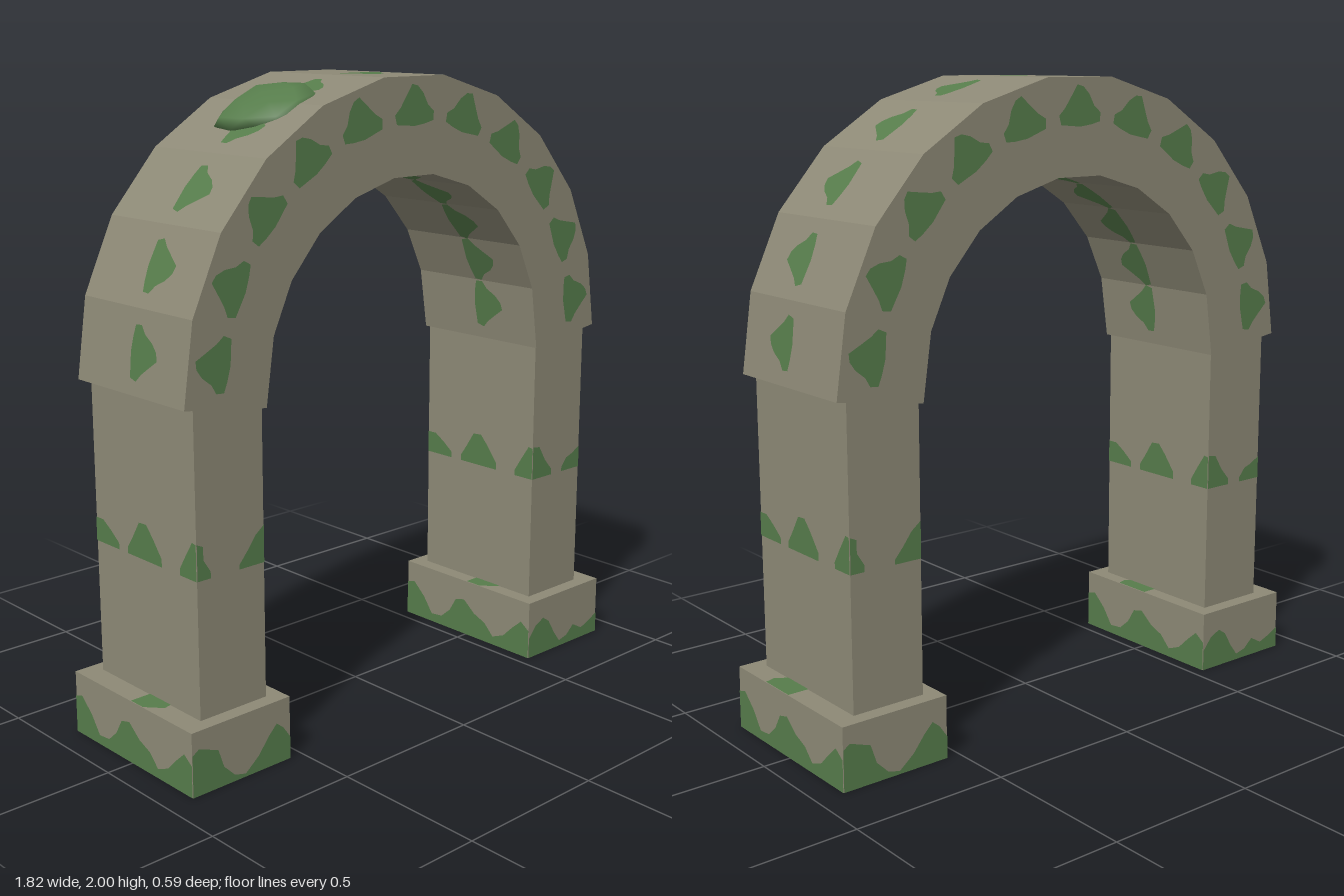
import * as THREE from 'three';
import { mergeVertices } from 'three/addons/utils/BufferGeometryUtils.js';

const stone = new THREE.MeshStandardMaterial({ color: 0x8d8976 });
stone.name = 'weathered stone';
const moss = new THREE.MeshStandardMaterial({ color: 0x567c4b });
moss.name = 'moss green';

const V = (x, y, z) => new THREE.Vector3(x, y, z);
const LIFT = 0.002;

// Irregular bell-shaped moss spot, flat edge on v = 0
const bell = [[-0.075, 0], [-0.083, 0.028], [-0.06, 0.05], [-0.035, 0.085], [-0.012, 0.118],
  [0.012, 0.112], [0.035, 0.09], [0.055, 0.055], [0.08, 0.035], [0.078, 0.008], [0.045, 0], [0, -0.006]];
const mirrored = bell.map(([u, v]) => [-u, v]).reverse();

// Thin moss patch on a face with normal n, its "up" along v
function patch(points, origin, n, v) {
  const g = new THREE.ShapeGeometry(new THREE.Shape(points.map(p => new THREE.Vector2(...p))));
  const u = V().crossVectors(v, n);
  const m = new THREE.Matrix4().makeBasis(u, v, n);
  m.setPosition(origin.clone().addScaledVector(n, LIFT));
  const mesh = new THREE.Mesh(g.applyMatrix4(m), moss);
  mesh.name = 'mossPatch';
  return mesh;
}

function box(name, w, h, d, x, y) {
  const mesh = new THREE.Mesh(new THREE.BoxGeometry(w, h, d), stone);
  mesh.position.set(x, y, 0);
  mesh.name = name;
  return mesh;
}

// Close a moss height line down to v = 0
const close = line => [[line[0][0], 0], ...line, [line[line.length - 1][0], 0]];

// Moss outlines: u runs to the viewer's right on each face
const baseSide = close([[-0.295, 0.12], [-0.26, 0.13], [-0.21, 0.085], [-0.17, 0.03], [-0.12, 0.035],
  [-0.08, 0.07], [-0.05, 0.12], [-0.01, 0.13], [0.04, 0.09], [0.09, 0.07], [0.13, 0.03], [0.18, 0.05],
  [0.22, 0.09], [0.26, 0.125], [0.295, 0.1]]);
const baseFaces = [
  close([[-0.183, 0.13], [-0.16, 0.145], [-0.09, 0.12], [-0.07, 0.06], [-0.03, 0.02], [0.01, 0.01],
    [0.06, 0.05], [0.1, 0.1], [0.13, 0.13], [0.155, 0.11], [0.183, 0.07]]),
  close([[-0.183, 0.07], [-0.15, 0.11], [-0.11, 0.13], [-0.08, 0.11], [-0.05, 0.06], [-0.02, 0.02],
    [0.02, 0.03], [0.055, 0.06], [0.1, 0.035], [0.14, 0.05], [0.183, 0.07]])];
const pillarSide = [
  close([[-0.247, 0.075], [-0.21, 0.075], [-0.17, 0.05], [-0.13, 0.02]]),
  close([[-0.085, 0.02], [-0.06, 0.055], [-0.025, 0.11], [0.01, 0.112], [0.04, 0.08], [0.083, 0.025]]),
  close([[0.17, 0.02], [0.195, 0.06], [0.23, 0.113], [0.247, 0.11]])];
const pillarFaces = [
  [close([[-0.122, 0.11], [-0.1, 0.1], [-0.1, 0.06], [-0.075, 0.02]]),
    close([[0.03, 0.015], [0.06, 0.05], [0.09, 0.09], [0.122, 0.115]])],
  [close([[-0.122, 0.115], [-0.09, 0.11], [-0.06, 0.06], [-0.025, 0.02]]),
    close([[0.03, 0.015], [0.055, 0.045], [0.085, 0.055], [0.122, 0.075]])]];

// One leg: plinth, pillar and their moss
function leg(side) {
  const g = new THREE.Group();
  g.name = side > 0 ? 'leftLeg' : 'rightLeg';
  const bx = side * 0.727, px = side * 0.718, up = V(0, 1, 0);
  g.add(box('plinth', 0.366, 0.2, 0.59, bx, 0.1), box('pillar', 0.245, 1.0, 0.494, px, 0.7));
  for (const s of [1, -1]) {
    const kind = side * s > 0 ? 1 : 0;
    const zn = V(0, 0, s), xn = V(s, 0, 0);
    g.add(patch(baseFaces[kind], V(bx, 0, s * 0.295), zn, up));
    g.add(patch(baseSide, V(bx + s * 0.183, 0, 0), xn, up));
    for (const p of pillarFaces[kind]) g.add(patch(p, V(px, 0.625, s * 0.247), zn, up));
    for (const p of pillarSide) g.add(patch(p, V(px + s * 0.1225, 0.625, 0), xn, up));
  }
  // Moss on the plinth ledges beside the pillar
  const ledge = close([[-0.183, 0.13], [-0.15, 0.14], [-0.09, 0.1], [-0.04, 0.01], [0.05, 0.03],
    [0.1, 0.1], [0.14, 0.11], [0.183, 0.06]]);
  g.add(patch(ledge, V(bx, 0.2, 0), up, V(0, 0, 1)));
  return g;
}

// Faceted arch of equal straight blocks
function arch() {
  const g = new THREE.Group();
  g.name = 'arch';
  const N = 11, step = Math.PI / N, cy = 1.131, outer = 0.869, inner = 0.574, depth = 0.516;
  const ring = (apothem) => Array.from({ length: N + 1 }, (_, i) => {
    const r = apothem / Math.cos(step / 2);
    return new THREE.Vector2(r * Math.cos(i * step), cy + r * Math.sin(i * step));
  });
  const inside = ring(inner);
  inside[0].set(0.586, 1.089);
  inside[N].set(-0.586, 1.089);
  const shape = new THREE.Shape([...ring(outer), ...inside.reverse()]);
  const body = new THREE.Mesh(
    new THREE.ExtrudeGeometry(shape, { depth, bevelEnabled: false }).translate(0, 0, -depth / 2), stone);
  body.name = 'archStones';
  g.add(body);
  for (let i = 0; i < N; i++) {
    const a = (i + 0.5) * step;
    const out = V(Math.cos(a), Math.sin(a), 0), front = V(0, 0, 1);
    const at = (r, z) => V(out.x * r, cy + out.y * r, z);
    const spot = i % 2 ? bell : mirrored;
    g.add(patch(spot, at(0.729, depth / 2), front, out));
    g.add(patch(spot, at(0.729, -depth / 2), V(0, 0, -1), out));
    g.add(patch(spot, at(outer, 0), out, front));
    g.add(patch(spot, at(inner, 0), out.clone().negate(), front));
  }
  return g;
}

// Lumpy flattened moss cushion on the shoulder of the arch
function cushion() {
  let geo = new THREE.IcosahedronGeometry(1, 1);
  geo.deleteAttribute('uv');
  geo.deleteAttribute('normal');
  geo = mergeVertices(geo, 1e-3);
  const p = geo.attributes.position;
  for (let i = 0; i < p.count; i++) {
    const k = 1 + 0.09 * Math.sin(i * 2.7 + 0.6);
    p.setXYZ(i, p.getX(i) * k * 0.155, p.getY(i) * k * 0.055, p.getZ(i) * k * 0.16);
  }
  geo.computeVertexNormals();
  const mesh = new THREE.Mesh(geo, moss);
  mesh.name = 'mossCushion';
  mesh.position.set(-0.355, 1.91, 0);
  mesh.rotation.z = 0.38;
  return mesh;
}

export function createModel() {
  const model = new THREE.Group();
  model.name = 'mossyArch';
  model.add(leg(1), leg(-1), arch(), cushion());
  return model;
}
